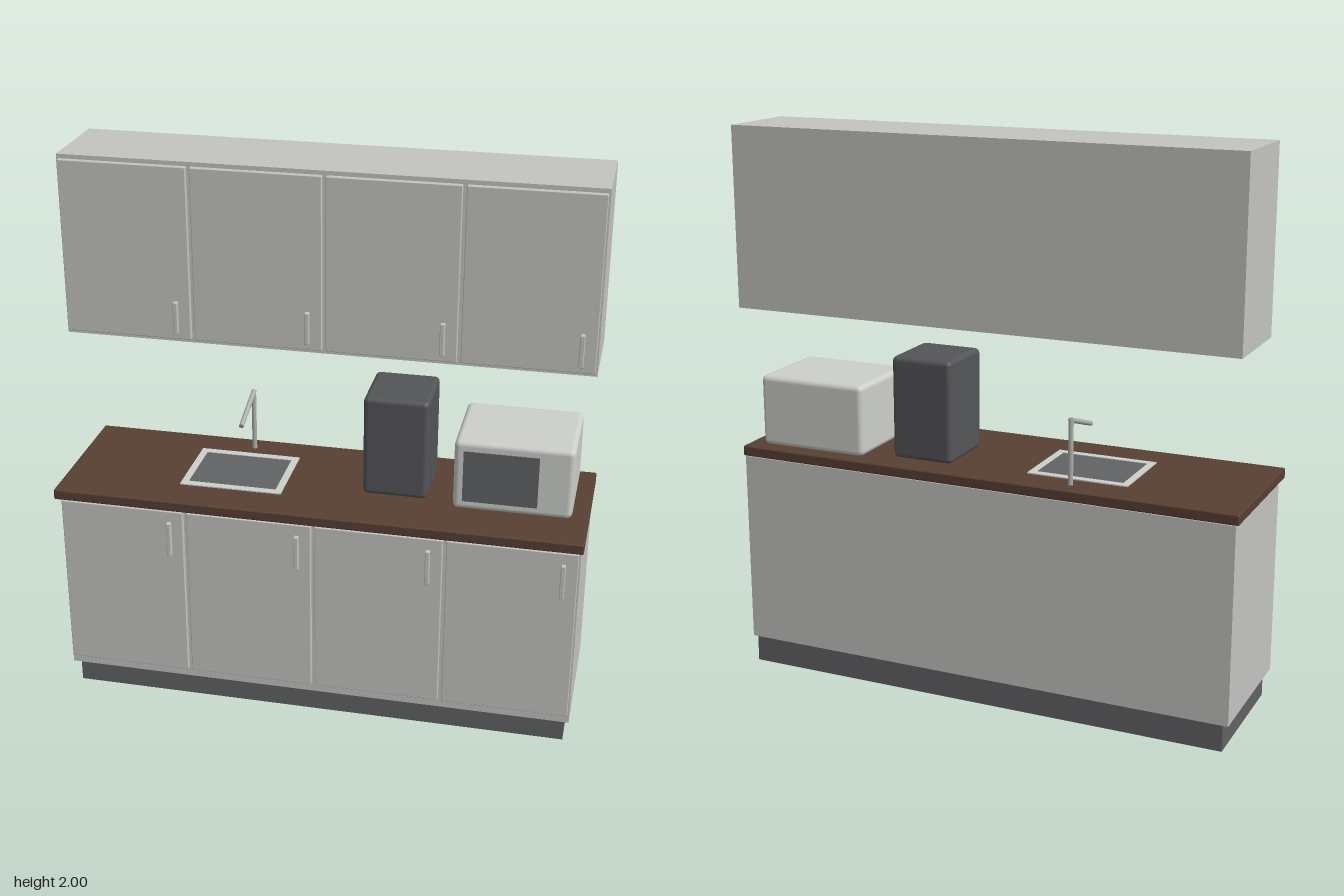
import * as THREE from 'three';
import { RoundedBoxGeometry } from 'three/addons/geometries/RoundedBoxGeometry.js';

function material(name, color) {
  const m = new THREE.MeshStandardMaterial({ color });
  m.name = name;
  return m;
}

export function createModel() {
  const root = new THREE.Group();
  root.name = 'kitchenUnit';

  const cabinetGrey = material('cabinetGrey', 0xc4c4c2);
  const applianceGrey = material('applianceGrey', 0xcdcfcb);
  const darkGrey = material('darkGrey', 0x626365);
  const charcoal = material('charcoal', 0x545557);
  const wood = material('wood', 0x583f32);
  const steel = material('steel', 0xaeb0b0);

  function add(parent, name, geometry, mat) {
    const mesh = new THREE.Mesh(geometry, mat);
    mesh.name = name;
    parent.add(mesh);
    return mesh;
  }

  // Box given by its low and high limits on each axis; r rounds the edges
  function box(parent, name, mat, [x0, x1], [y0, y1], [z0, z1], r = 0) {
    const size = [x1 - x0, y1 - y0, z1 - z0];
    const geometry = r ? new RoundedBoxGeometry(...size, 2, r) : new THREE.BoxGeometry(...size);
    const mesh = add(parent, name, geometry, mat);
    mesh.position.set((x0 + x1) / 2, (y0 + y1) / 2, (z0 + z1) / 2);
    return mesh;
  }

  function group(name) {
    const g = new THREE.Group();
    g.name = name;
    root.add(g);
    return g;
  }

  // Cabinet body with four doors and upright handles
  function cabinet(name, y, zFront, doorY, handleY) {
    const g = group(name);
    box(g, 'carcass', cabinetGrey, [-0.927, 0.927], y, [-0.278, zFront]);
    for (let i = 0; i < 4; i++) {
      const x = (i - 1.5) * 0.464;
      const face = zFront + 0.018;
      box(g, 'door', cabinetGrey, [x - 0.225, x + 0.225], doorY, [zFront - 0.004, face], 0.003);
      box(g, 'handle', cabinetGrey, [x + 0.168, x + 0.184], handleY, [face - 0.002, face + 0.018], 0.003);
    }
  }
  cabinet('baseCabinet', [0.095, 0.802], 0.233, [0.132, 0.785], [0.615, 0.745]);
  cabinet('wallCabinet', [1.355, 2], 0.049, [1.37, 1.985], [1.395, 1.51]);

  // Plinth and worktop
  box(root, 'plinth', darkGrey, [-0.908, 0.908], [0, 0.095], [-0.278, 0.205]);
  box(root, 'worktop', wood, [-0.937, 0.937], [0.802, 0.84], [-0.278, 0.278], 0.006);

  // Sink: frame around a dark basin
  const sink = group('sink');
  const frame = new THREE.Shape();
  frame.moveTo(-0.185, -0.148).lineTo(0.185, -0.148).lineTo(0.185, 0.148).lineTo(-0.185, 0.148).closePath();
  const opening = new THREE.Path();
  opening.moveTo(-0.16, -0.12).lineTo(-0.16, 0.12).lineTo(0.16, 0.12).lineTo(0.16, -0.12).closePath();
  frame.holes.push(opening);
  const rim = add(sink, 'sinkRim', new THREE.ExtrudeGeometry(frame, { depth: 0.004, bevelEnabled: false }), applianceGrey);
  rim.rotation.x = -Math.PI / 2;
  rim.position.set(-0.325, 0.84, -0.008);
  box(sink, 'sinkBasin', darkGrey, [-0.485, -0.165], [0.838, 0.842], [-0.128, 0.112]);

  // Tap: upright pipe and a spout sloping forward
  const tap = group('tap');
  function pipe(name, a, b, radius) {
    const from = new THREE.Vector3(...a), to = new THREE.Vector3(...b);
    const dir = to.clone().sub(from);
    const mesh = add(tap, name, new THREE.CylinderGeometry(radius, radius, dir.length(), 12), steel);
    mesh.position.copy(from).add(to).multiplyScalar(0.5);
    mesh.quaternion.setFromUnitVectors(new THREE.Vector3(0, 1, 0), dir.normalize());
  }
  pipe('tapPipe', [-0.325, 0.838, -0.21], [-0.325, 1.072, -0.21], 0.009);
  pipe('tapSpout', [-0.325, 1.07, -0.215], [-0.325, 1.01, -0.03], 0.009);

  // Tall dark appliance
  box(root, 'darkAppliance', charcoal, [0.14, 0.37], [0.84, 1.211], [-0.18, 0.07], 0.018);

  // Microwave with a dark window
  const microwave = group('microwave');
  box(microwave, 'microwaveBody', applianceGrey, [0.466, 0.88], [0.84, 1.1], [-0.23, 0.111], 0.02);
  box(microwave, 'microwaveWindow', darkGrey, [0.5, 0.76], [0.875, 1.065], [0.108, 0.115]);

  return root;
}
